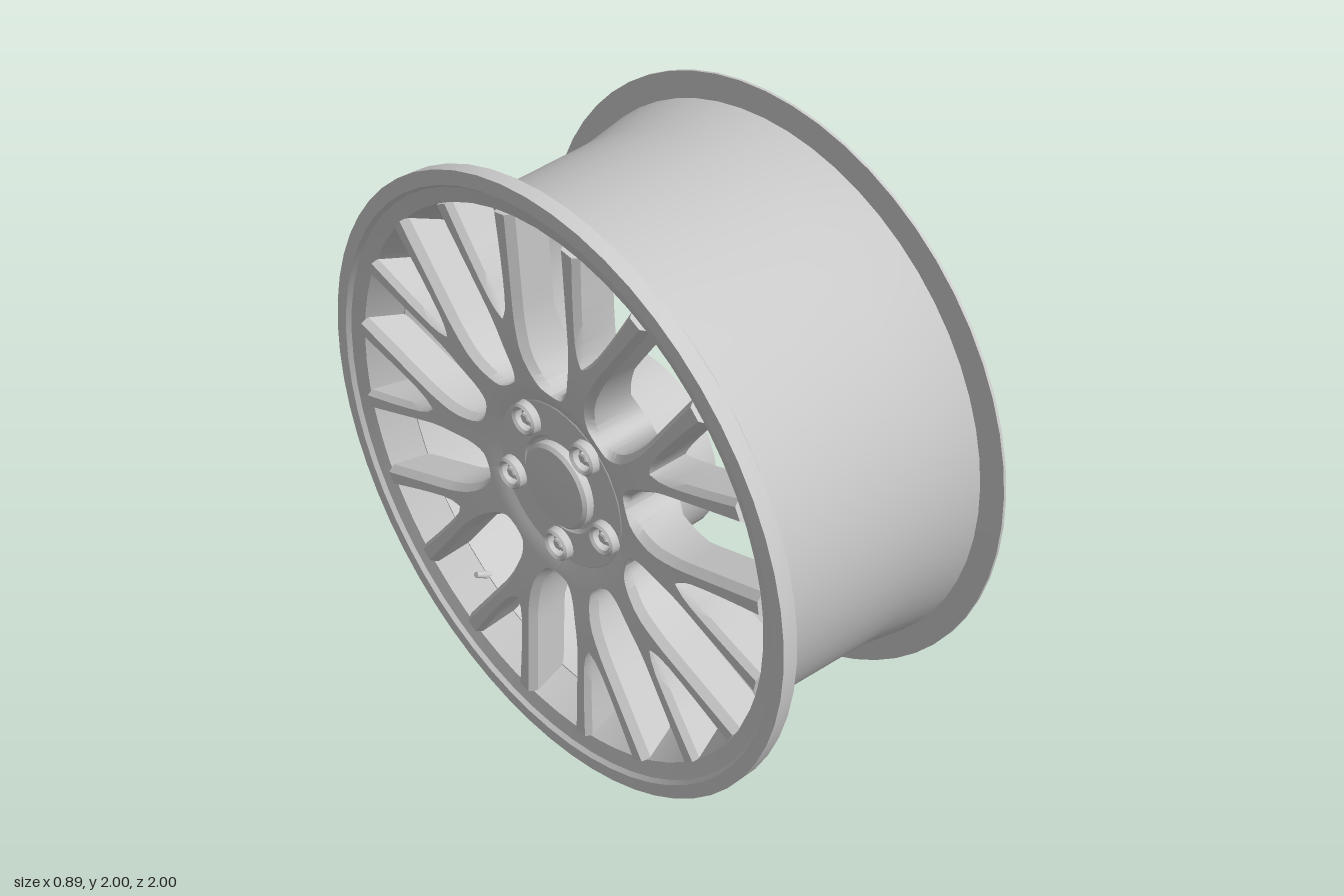
import * as THREE from 'three';
import { mergeGeometries, toCreasedNormals } from 'three/addons/utils/BufferGeometryUtils.js';

const material = new THREE.MeshStandardMaterial({ color: 0xcccccc, side: THREE.DoubleSide });
const DEG = Math.PI / 180;
const SECTOR = 18 * DEG; // half of one forked spoke's share of the wheel

// Named mesh with smooth shading and sharp edges
function part(name, geometry, crease = 0.6) {
  const mesh = new THREE.Mesh(toCreasedNormals(geometry, crease), material);
  mesh.name = name;
  return mesh;
}

// Surface of revolution about the x axis from [radius, distance towards the outer face]
function turned(name, points, segments = 60) {
  const geometry = new THREE.LatheGeometry(points.map(p => new THREE.Vector2(p[0], p[1])), segments);
  return part(name, geometry.rotateZ(Math.PI / 2), 0.4);
}

// Skin through sections of [x, angle, radius]; mirror = -1 flips the angle
function loft(sections, mirror = 1) {
  const n = sections[0].length, position = [], index = [];
  const tri = (a, b, c) => (mirror > 0 ? index.push(a, b, c) : index.push(a, c, b));
  for (const section of sections) {
    for (const [x, a, r] of section) position.push(x, r * Math.sin(a * mirror), r * Math.cos(a));
  }
  const last = (sections.length - 1) * n;
  for (let k = 0; k < last; k += n) {
    for (let i = 0; i < n; i++) {
      const j = (i + 1) % n;
      tri(k + i, k + j, k + n + j);
      tri(k + i, k + n + j, k + n + i);
    }
  }
  for (let i = 1; i < n - 1; i++) {
    tri(0, i + 1, i);
    tri(last, last + i, last + i + 1);
  }
  const geometry = new THREE.BufferGeometry();
  geometry.setAttribute('position', new THREE.Float32BufferAttribute(position, 3));
  geometry.setIndex(index);
  return geometry;
}

// Piecewise linear lookup
function lookup(table, r) {
  for (let i = 1; i < table.length; i++) {
    const [r0, v0] = table[i - 1], [r1, v1] = table[i];
    if (r <= r1) return v0 + (v1 - v0) * Math.max(0, (r - r0) / (r1 - r0));
  }
  return table[table.length - 1][1];
}

// Half widths of the opening between spokes and of the slot inside a fork
function windowHalf(r) {
  const t = Math.min(1, Math.max(0, (r - 0.33) / 0.27));
  return 0.102 * Math.sqrt(1 - (1 - t) ** 2);
}
const slotHalf = r => (r > 0.55 ? 0.1 * ((r - 0.55) / 0.32) ** 0.8 : 0);

// One half of a forked spoke
function halfSpoke(mirror) {
  const front = [[0.25, -0.36], [0.33, -0.392], [0.45, -0.415], [0.9, -0.435]];
  const back = [[0.25, -0.18], [0.33, -0.2], [0.4, -0.245], [0.55, -0.285], [0.85, -0.3], [0.9, -0.33]];
  const radii = [0.25, 0.29, 0.33, 0.333, 0.34, 0.355, 0.375, 0.4, 0.43, 0.47, 0.51, 0.55,
    0.553, 0.56, 0.58, 0.62, 0.68, 0.75, 0.82, 0.86, 0.895];
  return loft(radii.map(r => {
    const slot = slotHalf(r), opening = windowHalf(r);
    const a0 = slot / r, a1 = SECTOR - opening / r;
    const xf = lookup(front, r), xb = lookup(back, r);
    const c0 = Math.min(0.02, slot), c1 = Math.min(0.025, opening);
    return [
      [xf, a0 + c0 * 0.7 / r, r], [xf + c0, a0, r], [xb, a0, r],
      [xb, a1, r], [xf + c1, a1, r], [xf, a1 - c1 * 0.7 / r, r],
    ];
  }), mirror);
}

// Tapered wall that closes the outer end of one opening
function pocketWall() {
  const outline = [[-0.42, 0.895], [-0.4, 0.912], [-0.335, 0.9], [-0.3, 0.862], [-0.3, 0.845]];
  const steps = [[-8, 0.02], [-7, 0.004], [-5, 0], [0, 0], [5, 0], [7, 0.004], [8, 0.02]];
  return loft(steps.map(([deg, drop]) =>
    outline.map(([x, r], i) => [x, deg * DEG, i > 0 && i < 4 ? Math.max(r - drop, 0.85) : r])));
}

export function createModel() {
  const model = new THREE.Group();
  model.name = 'wheelRim';
  const wheel = new THREE.Group();
  wheel.name = 'wheel';
  wheel.position.y = 1;
  model.add(wheel);

  // Barrel with thin inner flange
  wheel.add(turned('barrel', [[0.9, -0.445], [1, -0.445], [1, -0.435], [0.916, -0.432], [0.88, -0.25],
    [0.852, 0.305], [0.843, 0.305], [0.868, -0.25], [0.9, -0.445]]));

  // Outer flange with stepped lip
  wheel.add(turned('outerFlange', [[0.895, 0.4], [1, 0.4], [1, 0.45], [0.955, 0.45], [0.945, 0.436],
    [0.895, 0.42], [0.895, 0.4]]));

  // Ten forked spokes
  const spoke = mergeGeometries([halfSpoke(1), halfSpoke(-1)]);
  for (let i = 0; i < 10; i++) {
    const mesh = part('forkedSpoke', spoke);
    mesh.rotation.x = i * 36 * DEG;
    wheel.add(mesh);
  }

  // Twenty pocket walls around the outer ends of the openings
  const wall = pocketWall();
  for (let i = 0; i < 20; i++) {
    const mesh = part('pocketWall', wall);
    mesh.rotation.x = i * 18 * DEG;
    wheel.add(mesh);
  }

  // Hub with flat mounting face
  wheel.add(turned('hub', [[0, 0.02], [0.3, 0.02], [0.3, 0.15], [0.325, 0.2], [0.325, 0.34],
    [0.27, 0.372], [0.16, 0.372], [0.15, 0.36], [0, 0.36]], 40));

  // Domed centre cap
  wheel.add(turned('centreCap', [[0.14, 0.35], [0.14, 0.385], [0.13, 0.395], [0.07, 0.402], [0, 0.404]], 40));

  // Five bolt cups with bolts
  for (let i = 0; i < 5; i++) {
    const a = (-90 + 72 * i) * DEG;
    const bolt = new THREE.Group();
    bolt.name = 'boltSeat';
    bolt.add(turned('boltCup', [[0.058, 0.35], [0.052, 0.395], [0.045, 0.402], [0.036, 0.395],
      [0.032, 0.374], [0, 0.374]], 20));
    bolt.add(turned('boltHead', [[0.02, 0.37], [0.02, 0.388], [0.014, 0.392], [0, 0.392]], 6));
    bolt.position.set(0, 0.22 * Math.sin(a), 0.22 * Math.cos(a));
    wheel.add(bolt);
  }

  // Valve stem
  const valve = part('valveStem', new THREE.CylinderGeometry(0.01, 0.013, 0.07, 12));
  valve.position.set(-0.32, -0.69, -0.48);
  valve.rotation.z = 60 * DEG;
  wheel.add(valve);

  return model;
}
